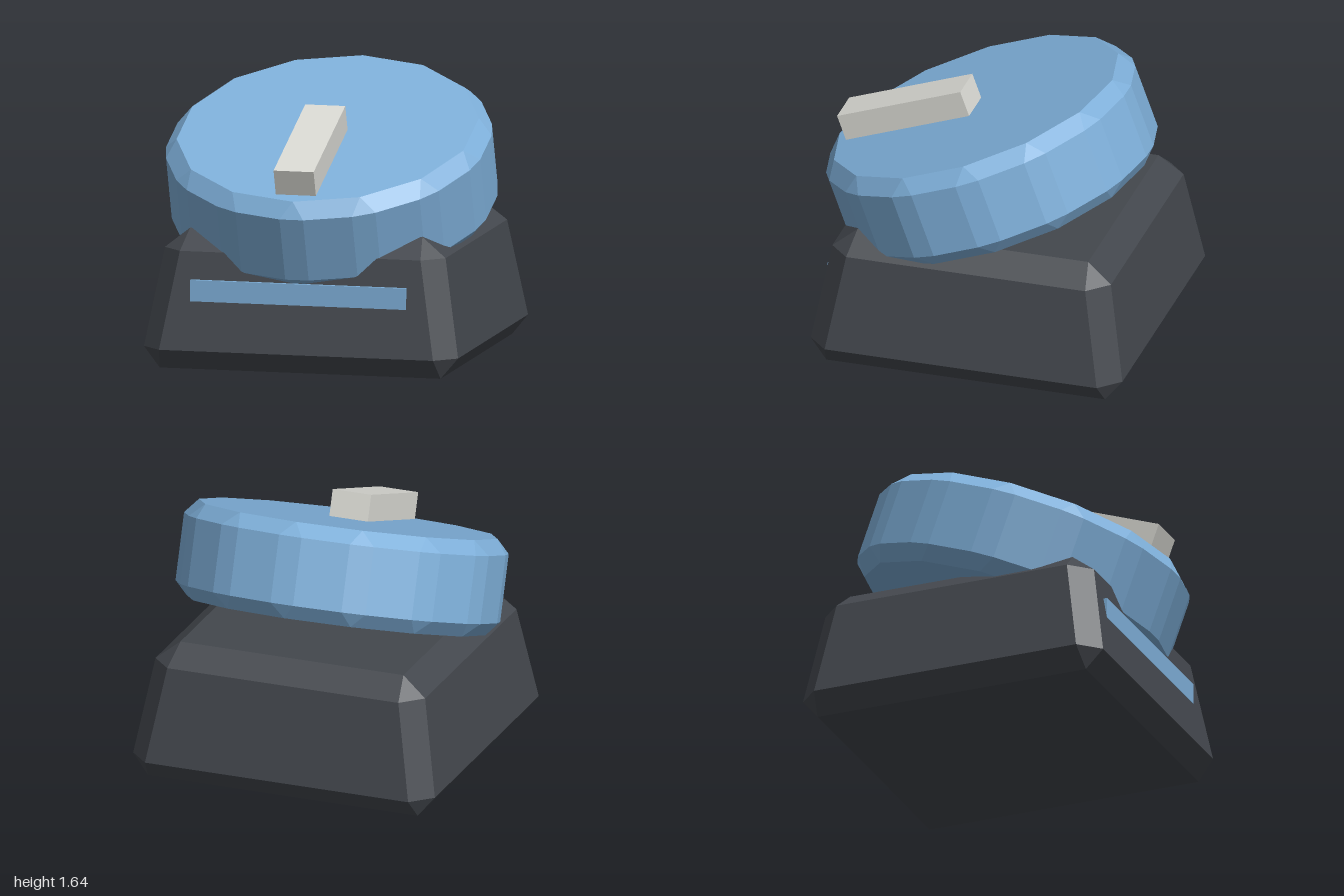
import * as THREE from 'three';
import { ConvexGeometry } from 'three/addons/geometries/ConvexGeometry.js';

const V = (x, y, z) => new THREE.Vector3(x, y, z);

function makeMesh(name, geometry, material) {
  const mesh = new THREE.Mesh(geometry, material);
  mesh.name = name;
  return mesh;
}

// Tapered box with every edge chamfered: each corner is cut into three points
function baseGeometry() {
  const points = [];
  for (const sx of [1, -1]) for (const sz of [1, -1]) {
    const add = (x, y, z) => points.push(V(sx * x, y, sz * z));
    add(0.84, 0, 0.845);
    add(0.94, 0.12, 0.825);
    add(0.82, 0.12, 0.945);
    add(0.84, 0.69, 0.725);
    add(0.72, 0.69, 0.845);
    add(0.695, 0.805, 0.7);
  }
  return new ConvexGeometry(points);
}

// Short prism with chamfered rims and chamfered upright edges
function knobGeometry(sides, radius, capRadius, height, rim, cut) {
  const points = [];
  const half = Math.PI / sides;
  for (let i = 0; i < sides; i++) {
    const a = i * 2 * half;
    const s = Math.sin(a), c = Math.cos(a);
    const out = radius - cut * Math.sin(half);
    const side = cut * Math.cos(half);
    for (const sy of [1, -1]) {
      points.push(V(s * capRadius, sy * height / 2, c * capRadius));
      for (const t of [side, -side]) {
        points.push(V(s * out + c * t, sy * (height / 2 - rim), c * out - s * t));
      }
    }
  }
  return new ConvexGeometry(points);
}

export function createModel() {
  const charcoal = new THREE.MeshStandardMaterial({ color: 0x43474d });
  charcoal.name = 'charcoal';
  const blue = new THREE.MeshStandardMaterial({ color: 0x7eafd9 });
  blue.name = 'blue';
  const paleGrey = new THREE.MeshStandardMaterial({ color: 0xd8d8d2 });
  paleGrey.name = 'paleGrey';

  const model = new THREE.Group();
  model.name = 'dialSwitch';

  // Base block
  const base = makeMesh('base', baseGeometry(), charcoal);
  base.position.z = -0.055;
  model.add(base);

  // Upright strip set into the sloping front
  const strip = makeMesh('frontStrip', new THREE.BoxGeometry(1.29, 0.125, 0.04), blue);
  strip.position.set(0, 0.467, 0.821);
  model.add(strip);

  // Dial, tipped towards the front
  const dial = new THREE.Group();
  dial.name = 'dial';
  dial.position.set(0, 1.07, 0.0425);
  dial.rotation.x = THREE.MathUtils.degToRad(20);
  dial.add(makeMesh('dialBody', knobGeometry(14, 0.964, 0.88, 0.565, 0.083, 0.072), blue));

  // Pointer bar from the dial centre to its front rim
  const pointer = makeMesh('pointer', new THREE.BoxGeometry(0.24, 0.18, 0.795), paleGrey);
  pointer.position.set(0, 0.35, 0.403);
  dial.add(pointer);
  model.add(dial);

  return model;
}
